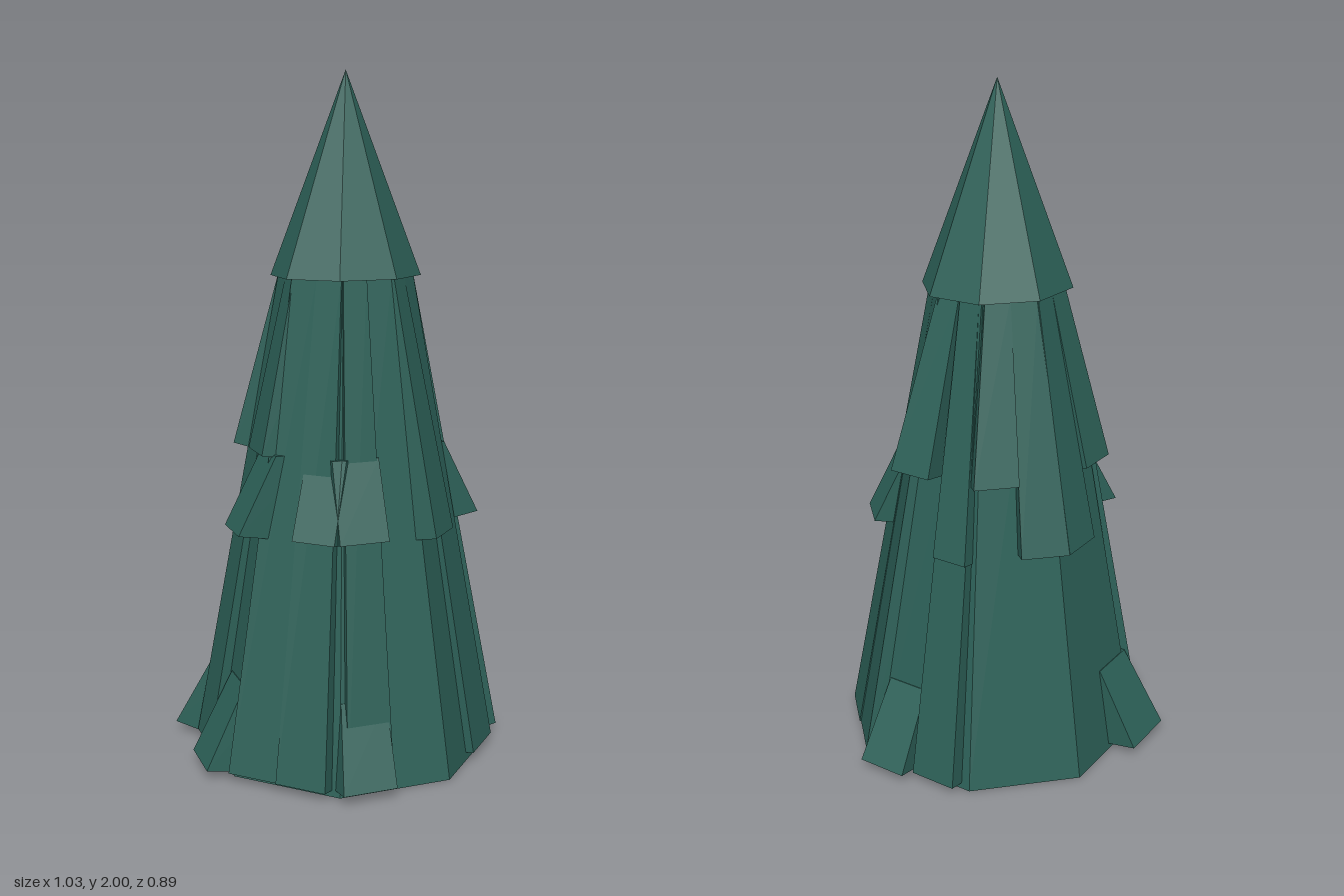
import * as THREE from 'three';

const foliage = new THREE.MeshStandardMaterial({ color: 0x2d6158, flatShading: true });
foliage.name = 'dark pine green';

// Sloping slab on one of the eight faces. angle: face direction in degrees from +x to +z;
// t0..t1: sideways span at the bottom; each end has a height and an outward distance.
function shingle(name, angle, t0, t1, yLow, rLow, yHigh, rHigh, taper) {
  const geo = new THREE.BoxGeometry(1, 1, 1);
  const p = geo.attributes.position;
  const depth = 0.12;
  for (let i = 0; i < p.count; i++) {
    const top = p.getY(i) > 0, outer = p.getZ(i) > 0;
    const t = p.getX(i) > 0 ? -t0 : -t1;
    const y = top ? yHigh : yLow - (outer ? 0 : 0.02);
    p.setXYZ(i, t * (top ? taper : 1), Math.max(y, 0.005), (top ? rHigh : rLow) - (outer ? 0 : depth));
  }
  geo.computeVertexNormals();
  const mesh = new THREE.Mesh(geo, foliage);
  mesh.name = name;
  mesh.rotation.y = Math.PI / 2 - THREE.MathUtils.degToRad(angle);
  return mesh;
}

export function createModel() {
  const tree = new THREE.Group();
  tree.name = 'pineTree';

  // Pointed crown
  const crown = new THREE.Mesh(new THREE.ConeGeometry(0.227, 0.58, 8), foliage);
  crown.name = 'crown';
  crown.position.y = 1.71;
  crown.scale.z = 0.925;
  tree.add(crown);

  // Eight-sided tapering body
  const body = new THREE.Mesh(new THREE.CylinderGeometry(0.19, 0.438, 1.43, 8), foliage);
  body.name = 'body';
  body.position.y = 0.715;
  tree.add(body);

  // Full-length boughs reaching the ground: angle, t0, t1, outward distance
  const long = [
    [22.5, -0.166, -0.011, 0.442], [22.5, -0.013, 0.141, 0.446],
    [157.5, 0.011, 0.166, 0.442], [157.5, -0.141, 0.013, 0.446],
    [337.5, -0.139, 0.004, 0.45], [67.5, -0.14, 0.02, 0.425],
    [202.5, 0, 0.14, 0.433], [112.5, 0.01, 0.15, 0.42],
  ];
  for (const [a, t0, t1, r] of long)
    tree.add(shingle('longBough', a, t0, t1, 0.025, r, 1.43, 0.182, 0.5));

  // Middle boughs ending partway down: angle, t0, t1, bottom height, outward distance
  const middle = [
    [67.5, 0, 0.135, 0.7, 0.343], [292.5, -0.14, 0, 0.71, 0.342],
    [247.5, 0, 0.14, 0.71, 0.34], [292.5, 0, 0.13, 0.92, 0.31],
    [247.5, -0.13, 0, 0.92, 0.308], [337.5, 0.01, 0.14, 0.93, 0.338],
    [202.5, -0.13, 0, 0.93, 0.3], [337.5, -0.11, 0, 0.69, 0.335],
  ];
  for (const [a, t0, t1, y, r] of middle)
    tree.add(shingle('middleBough', a, t0, t1, y, r, 1.43, 0.182, 0.55));

  // Short flared tips around the waist: angle, t0, t1, outward distance
  const waist = [
    [202.5, -0.157, -0.015, 0.379], [22.5, 0, 0.13, 0.375],
    [112.5, 0, 0.146, 0.35], [157.5, -0.13, 0, 0.36],
  ];
  for (const [a, t0, t1, r] of waist)
    tree.add(shingle('waistTip', a, t0, t1, 0.71, r, 0.93, 0.265, 0.95));

  // Short flared tips at the foot
  const foot = [
    [247.5, -0.196, -0.014, 0.49], [202.5, -0.171, -0.015, 0.487],
    [337.5, 0.017, 0.169, 0.487], [112.5, 0.017, 0.176, 0.46],
  ];
  for (const [a, t0, t1, r] of foot)
    tree.add(shingle('footTip', a, t0, t1, 0.03, r, 0.26, 0.365, 0.85));

  return tree;
}
